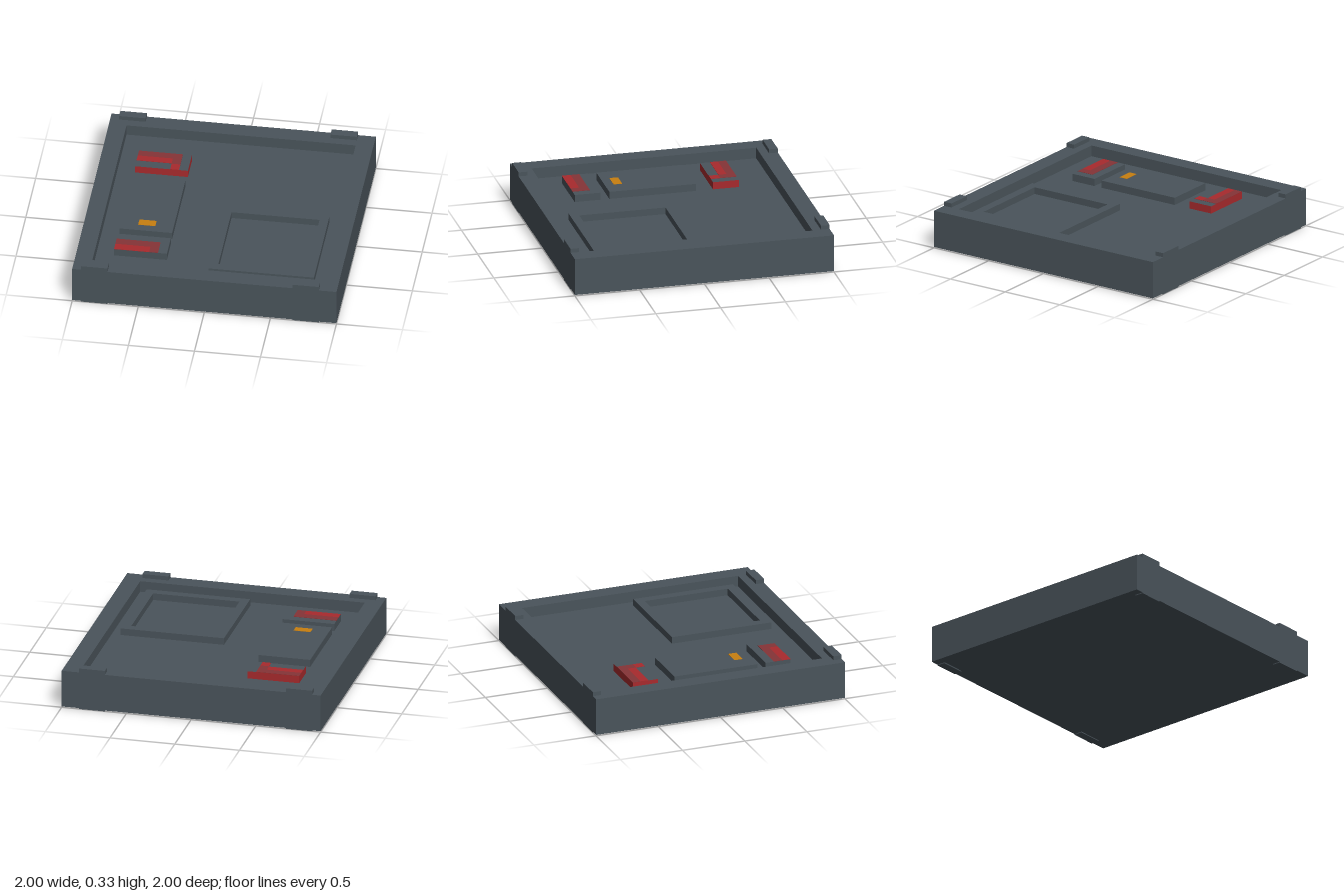
import * as THREE from 'three';

const mat = (name, color) => {
  const m = new THREE.MeshStandardMaterial({ color });
  m.name = name;
  return m;
};

export function createModel() {
  const group = new THREE.Group();
  const grey = mat('slate grey', 0x4a545b);
  const red = mat('bright red', 0xa82a2d);
  const darkRed = mat('dark red', 0x853437);
  const orange = mat('orange', 0xc87f10);

  const BOTTOM = 0.007, FLOOR = 0.21, RIM = 0.295, PAD = 0.267;

  // Box given by its extents on each axis
  function box(name, material, [x0, x1], [y0, y1], [z0, z1]) {
    const mesh = new THREE.Mesh(new THREE.BoxGeometry(x1 - x0, y1 - y0, z1 - z0), material);
    mesh.position.set((x0 + x1) / 2, (y0 + y1) / 2, (z0 + z1) / 2);
    mesh.name = name;
    group.add(mesh);
    return mesh;
  }

  // Square ring lying flat, centred on (cx, cz)
  function squareRing(name, cx, cz, outer, inner, y0, y1) {
    const corners = (r) => [[-r, -r], [r, -r], [r, r], [-r, r]].map(([x, y]) => new THREE.Vector2(x, y));
    const shape = new THREE.Shape(corners(outer));
    shape.holes.push(new THREE.Path(corners(inner).reverse()));
    const geo = new THREE.ExtrudeGeometry(shape, { depth: y1 - y0, bevelEnabled: false });
    geo.rotateX(-Math.PI / 2);
    const mesh = new THREE.Mesh(geo, grey);
    mesh.position.set(cx, y0, cz);
    mesh.name = name;
    group.add(mesh);
  }

  // Tray: solid base with a raised rim
  box('trayBase', grey, [-1, 1], [BOTTOM, FLOOR], [-1, 1]);
  squareRing('trayRim', 0, 0, 1, 0.867, FLOOR, RIM);

  // Raised square frame on the tray floor
  squareRing('squareFrame', 0.4, 0.4, 0.4, 0.333, FLOOR, 0.263);

  // Tabs above the rim and feet below the base, on front and back edges
  for (const z of [[-1, -0.933], [0.933, 1]]) {
    for (const x of [[-0.933, -0.733], [0.667, 0.867]]) {
      box('rimTab', grey, x, [RIM, 0.327], z);
      box('foot', grey, x, [0, BOTTOM], z);
    }
  }

  // Three pads; the back one has red sides
  const padX = [-0.733, -0.333];
  box('backPad', [red, red, grey, grey, red, red], padX, [FLOOR, PAD], [-0.6, -0.4]);
  box('middlePad', grey, padX, [FLOOR, PAD], [-0.267, 0.4]);
  box('frontPad', grey, padX, [FLOOR, PAD], [0.467, 0.667]);

  // Painted patches on the pad tops
  const plate = (name, m, x, z) => box(name, m, x, [PAD, PAD + 0.002], z);
  plate('backPadShade', darkRed, [-0.733, -0.4], [-0.6, -0.537]);
  plate('backPadShadeCorner', darkRed, [-0.467, -0.4], [-0.537, -0.47]);
  plate('backPadStripe', red, [-0.733, -0.467], [-0.537, -0.475]);
  plate('backPadTip', red, [-0.467, -0.4], [-0.47, -0.4]);
  plate('frontPadShade', darkRed, [-0.733, -0.4], [0.533, 0.6]);
  plate('frontPadShadeCorner', darkRed, [-0.467, -0.4], [0.6, 0.667]);
  plate('frontPadStripe', red, [-0.733, -0.467], [0.6, 0.667]);
  plate('indicator', orange, [-0.6, -0.47], [0.267, 0.333]);

  return group;
}
